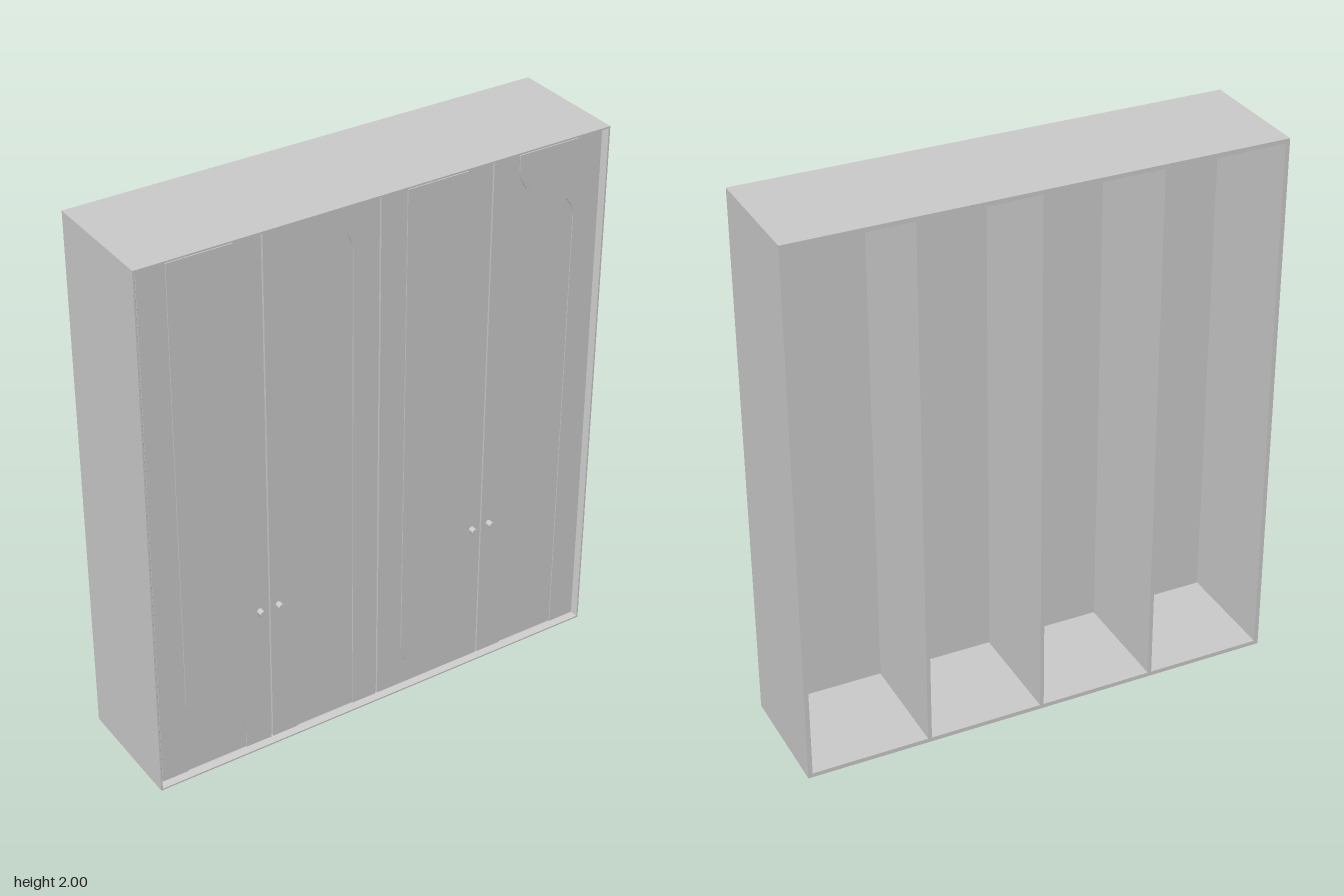
import * as THREE from 'three';

const W = 0.88, H = 2, BACK = -0.225, FRONT = 0.221, FACE = 0.202;
const RELIEF = 0.004, R = 0.115, Y0 = 0.018, Y1 = 1.982;
const mat = new THREE.MeshStandardMaterial({ color: 0xcccccc });

function add(parent, name, geometry, x = 0, y = 0, z = 0) {
  const mesh = new THREE.Mesh(geometry, mat);
  mesh.name = name;
  mesh.position.set(x, y, z);
  parent.add(mesh);
  return mesh;
}

const extrude = (shape, depth) =>
  new THREE.ExtrudeGeometry(shape, { depth, bevelEnabled: false, curveSegments: 24 });

// Carcass board: its front edge splays inward towards the doors
function board(length) {
  const shape = new THREE.Shape([
    [0, BACK], [0.016, BACK], [0.016, FACE], [0.006, FRONT], [0, FRONT],
  ].map(([t, z]) => new THREE.Vector2(t, z)));
  return extrude(shape, length);
}

// Door front with an arched recess open at the bottom
function doorFront(w, arch) {
  const s = new THREE.Shape();
  s.moveTo(-w, Y0);
  if (arch) {
    s.lineTo(-R, Y0);
    s.lineTo(-R, arch - R);
    s.absarc(0, arch - R, R, Math.PI, 0, true);
    s.lineTo(R, Y0);
  }
  s.lineTo(w, Y0);
  s.lineTo(w, Y1);
  s.lineTo(-w, Y1);
  s.closePath();
  return extrude(s, RELIEF);
}

// Raised panel with a round lower end
function raisedPanel(bottom) {
  const s = new THREE.Shape();
  s.moveTo(-R, Y1);
  s.lineTo(-R, bottom + R);
  s.absarc(0, bottom + R, R, Math.PI, Math.PI * 2, false);
  s.lineTo(R, Y1);
  s.closePath();
  return extrude(s, RELIEF);
}

export function createModel() {
  const group = new THREE.Group();
  group.name = 'wardrobe';

  // Outer carcass, open at the back
  const carcass = new THREE.Group();
  carcass.name = 'carcass';
  group.add(carcass);
  // Board axes: thickness, depth, length
  const place = (name, length, thick, along, origin) => {
    const depth = new THREE.Vector3(0, 0, 1);
    const g = board(length);
    g.applyMatrix4(new THREE.Matrix4().makeBasis(thick, depth, along).setPosition(origin));
    add(carcass, name, g);
  };
  const v = (x, y, z) => new THREE.Vector3(x, y, z);
  place('rightSide', H, v(1, 0, 0), v(0, -1, 0), v(-W, H, 0));
  place('leftSide', H, v(-1, 0, 0), v(0, 1, 0), v(W, 0, 0));
  place('floor', 2 * W, v(0, 1, 0), v(1, 0, 0), v(-W, 0, 0));
  place('top', 2 * W, v(0, -1, 0), v(-1, 0, 0), v(W, H, 0));

  // Inner partitions
  const partDepth = 0.19 - BACK;
  for (const x of [-0.43, 0, 0.43]) {
    add(carcass, 'partition', new THREE.BoxGeometry(0.014, H - 0.03, partDepth),
      x, H / 2, BACK + partDepth / 2);
  }

  // Four doors with arched relief
  const doors = [
    { x0: -0.865, x1: -0.43, arch: 0.185, panel: 0.2 },
    { x0: -0.43, x1: 0, arch: 1.935 },
    { x0: 0, x1: 0.43, panel: 0.07 },
    { x0: 0.43, x1: 0.865, arch: 1.805, panel: 1.82 },
  ];
  for (const { x0, x1, arch, panel } of doors) {
    const door = new THREE.Group();
    door.name = 'door';
    door.position.x = (x0 + x1) / 2;
    group.add(door);
    const w = (x1 - x0) / 2 - 0.003;
    const backDepth = FACE - RELIEF - 0.188;
    add(door, 'doorBoard', new THREE.BoxGeometry(2 * w, Y1 - Y0, backDepth),
      0, (Y0 + Y1) / 2, 0.188 + backDepth / 2);
    add(door, 'doorFront', doorFront(w, arch), 0, 0, FACE - RELIEF);
    if (panel) add(door, 'raisedPanel', raisedPanel(panel), 0, 0, FACE);
  }

  // Round knobs either side of the outer door gaps
  for (const x of [-0.467, -0.395, 0.393, 0.465]) {
    const knob = add(group, 'knob', new THREE.CylinderGeometry(0.012, 0.012, 0.024, 20),
      x, 0.575, FACE + 0.011);
    knob.rotation.x = Math.PI / 2;
  }
  return group;
}
